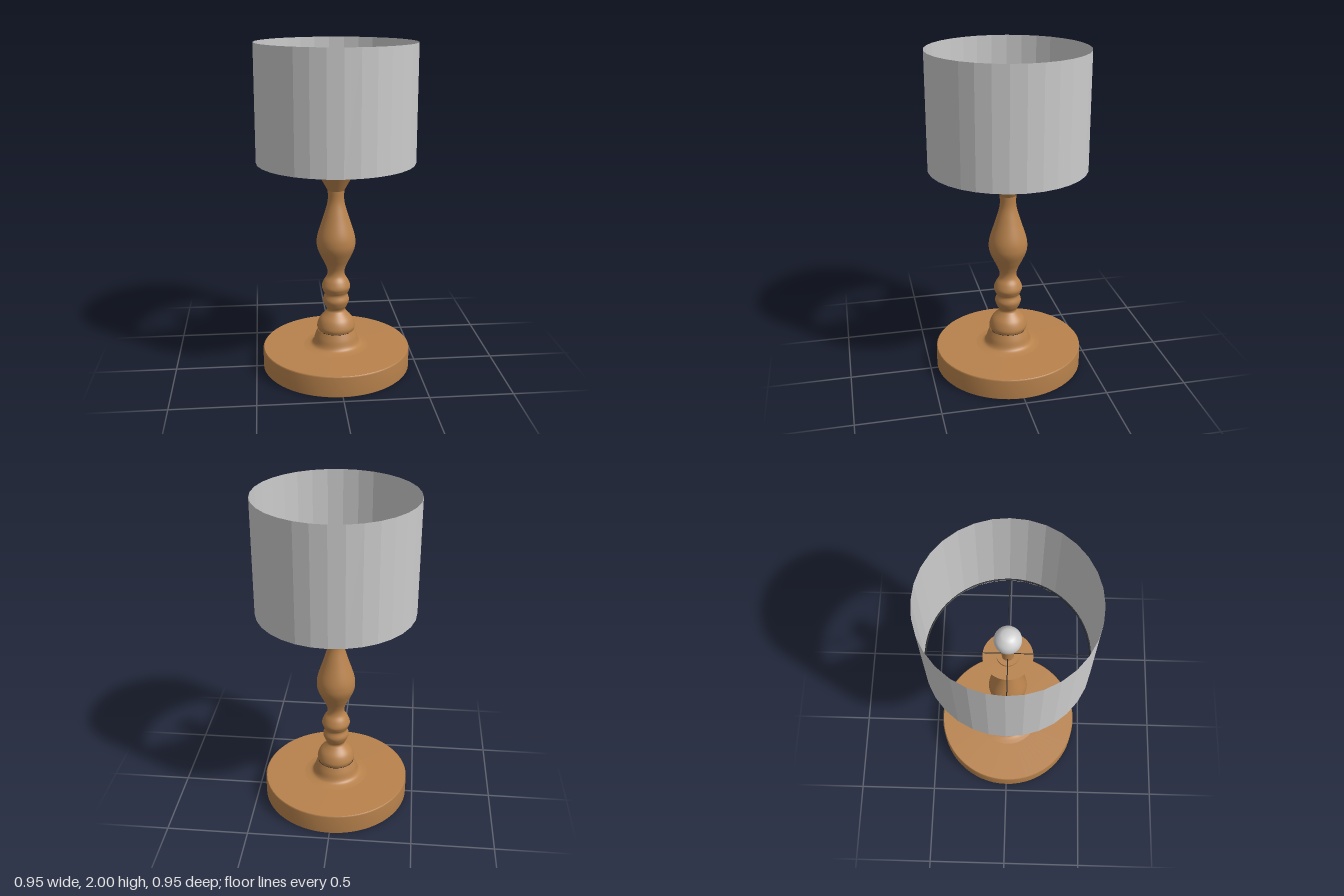
import * as THREE from 'three';

const wood = new THREE.MeshStandardMaterial({ color: 0xb8824c });
wood.name = 'wood';
const fabric = new THREE.MeshStandardMaterial({ color: 0xcccccc, side: THREE.DoubleSide, flatShading: true });
fabric.name = 'shadeFabric';
const glass = new THREE.MeshStandardMaterial({ color: 0xcfcfcf });
glass.name = 'bulbGlass';
const metal = new THREE.MeshStandardMaterial({ color: 0x26282b });
metal.name = 'darkMetal';

const toPoints = (list) => list.map(([r, y]) => new THREE.Vector2(r, y));

export function createModel() {
  const lamp = new THREE.Group();
  lamp.name = 'tableLamp';

  const add = (name, geometry, material, y = 0) => {
    const mesh = new THREE.Mesh(geometry, material);
    mesh.name = name;
    mesh.position.y = y;
    lamp.add(mesh);
    return mesh;
  };
  // Turned part, profile listed from bottom to top as [radius, height]
  const turn = (name, profile, material, smoothSteps = 0) => {
    let pts = toPoints(profile);
    if (smoothSteps) pts = new THREE.SplineCurve(pts).getPoints(smoothSteps);
    return add(name, new THREE.LatheGeometry(pts, 64), material);
  };

  // Round foot plate with slightly eased edges
  turn('baseUnderside', [[0, 0], [0.45, 0]], wood);
  turn('baseRim', [[0.45, 0], [0.456, 0.006], [0.456, 0.125], [0.45, 0.132]], wood);
  turn('baseTop', [[0.45, 0.132], [0.2, 0.134]], wood);

  // Turned column: flared foot, rings and vase
  turn('columnFoot', [[0.2, 0.134], [0.16, 0.142], [0.142, 0.16], [0.13, 0.2], [0.115, 0.238]], wood, 24);
  turn('columnStem', [
    [0.112, 0.238], [0.118, 0.265], [0.102, 0.31], [0.068, 0.35], [0.056, 0.372],
    [0.07, 0.4], [0.081, 0.435], [0.071, 0.472], [0.08, 0.495], [0.088, 0.522],
    [0.076, 0.558], [0.056, 0.592], [0.053, 0.625], [0.066, 0.665], [0.088, 0.71],
    [0.112, 0.765], [0.118, 0.81], [0.11, 0.865], [0.076, 0.97], [0.051, 1.06], [0.05, 1.13],
  ], wood, 110);

  // Flared cup and lamp holder
  turn('cup', [[0.05, 1.13], [0.145, 1.3]], wood);
  turn('cupTop', [[0.145, 1.3], [0, 1.3]], wood);
  add('holderFlange', new THREE.CylinderGeometry(0.065, 0.065, 0.014, 48), wood, 1.307);
  add('holder', new THREE.CylinderGeometry(0.035, 0.035, 0.1, 32), wood, 1.36);

  // Light bulb: narrow neck swelling into a globe
  turn('bulb', [
    [0.034, 1.405], [0.037, 1.43], [0.054, 1.47], [0.07, 1.5], [0.077, 1.535],
    [0.07, 1.57], [0.045, 1.599], [0.02, 1.609], [0, 1.611],
  ], glass, 40);

  // Open faceted drum shade
  add('shade', new THREE.CylinderGeometry(0.473, 0.473, 0.695, 32, 1, true), fabric, 1.6525);

  // Wire carrier: ring and crossed spokes
  add('carrierRing', new THREE.TorusGeometry(0.462, 0.005, 8, 64), metal, 1.34).rotation.x = Math.PI / 2;
  for (let i = 0; i < 4; i++) {
    const angle = (i * Math.PI) / 2;
    const spoke = add('carrierSpoke', new THREE.CylinderGeometry(0.0028, 0.0028, 0.435, 8), metal, 1.34);
    spoke.position.x = Math.cos(angle) * 0.2475;
    spoke.position.z = Math.sin(angle) * 0.2475;
    spoke.rotation.set(0, -angle, Math.PI / 2);
  }

  return lamp;
}
